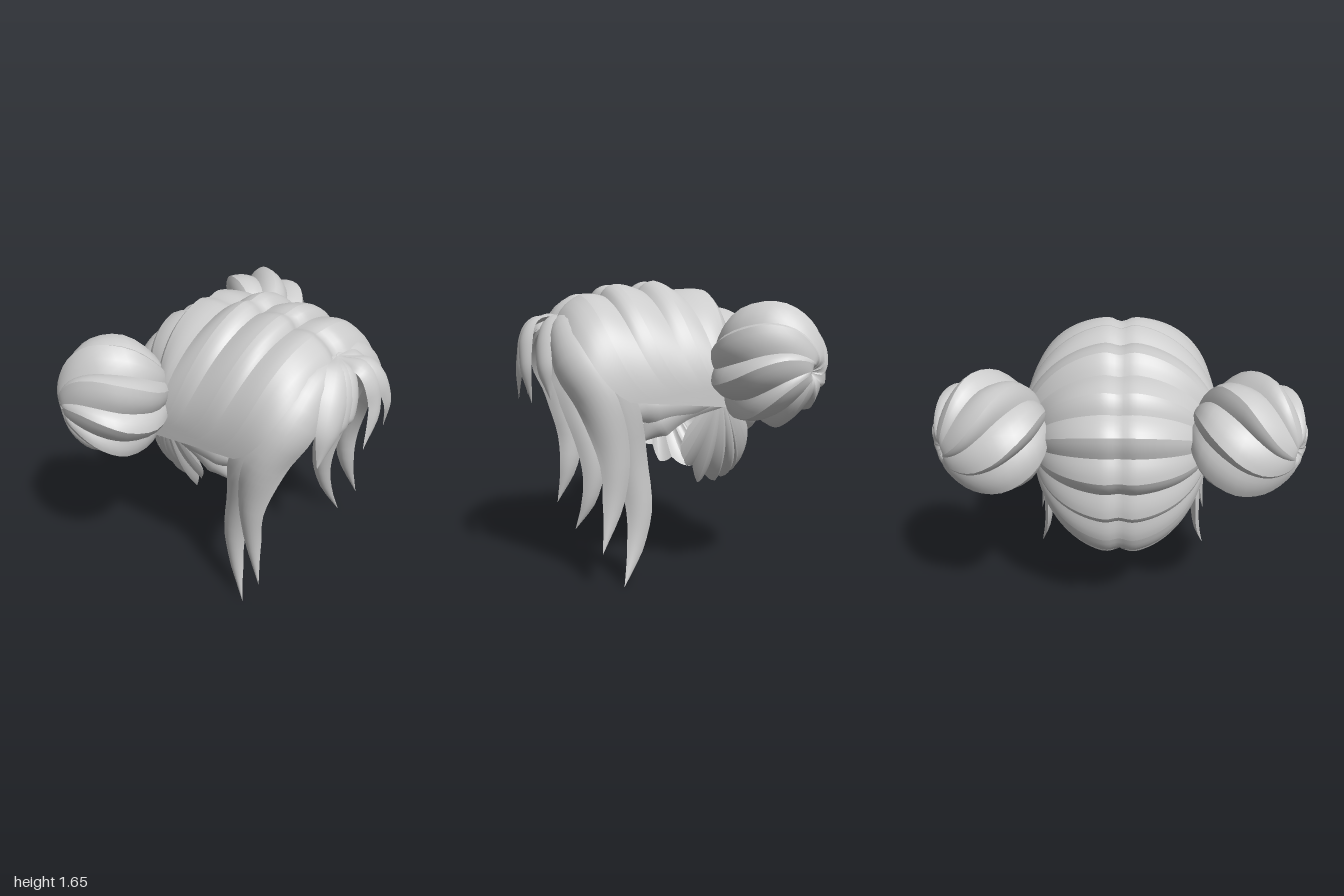
import * as THREE from 'three';

const material = new THREE.MeshStandardMaterial({ color: 0xcccccc, side: THREE.DoubleSide });
const V = (x, y, z) => new THREE.Vector3(x, y, z);
const { lerp, smoothstep } = THREE.MathUtils;

// Smooth grid surface from a rule point(u, v), u and v in 0..1
function sheet(name, point, nu, nv) {
  const pos = [], index = [];
  for (let i = 0; i <= nu; i++)
    for (let j = 0; j <= nv; j++) pos.push(...point(i / nu, j / nv).toArray());
  for (let i = 0; i < nu; i++)
    for (let j = 0; j < nv; j++) {
      const a = i * (nv + 1) + j, b = a + nv + 1;
      index.push(a, b, a + 1, b, b + 1, a + 1);
    }
  const g = new THREE.BufferGeometry();
  g.setAttribute('position', new THREE.Float32BufferAttribute(pos, 3));
  g.setIndex(index);
  g.computeVertexNormals();
  const mesh = new THREE.Mesh(g, material);
  mesh.name = name;
  return mesh;
}

// Piecewise linear lookup in a list
function sample(list, t) {
  const f = t * (list.length - 1), i = Math.min(Math.floor(f), list.length - 2);
  return lerp(list[i], list[i + 1], f - i);
}

// Tapered, lens-shaped lock of hair along a path; hanging parts face sideways
function lock(name, points, widths, inner = -0.12) {
  const curve = new THREE.CatmullRomCurve3(points.map(p => V(...p)));
  const group = new THREE.Group();
  group.name = name;
  for (const depth of [0.4, inner]) {
    group.add(sheet(name + (depth > 0 ? 'Outer' : 'Inner'), (u, v) => {
      const c = curve.getPoint(u), tangent = curve.getTangent(u);
      const out = V(c.x, Math.max(0, c.y - 1), c.z * smoothstep(c.y, 0.6, 1.15));
      const side = V().crossVectors(tangent, out).normalize();
      const normal = V().crossVectors(side, tangent).normalize();
      const w = sample(widths, u), t = 2 * v - 1;
      return c.addScaledVector(side, w * t).addScaledVector(normal, w * depth * (1 - t * t));
    }, 22, 8));
  }
  return group;
}

// Adds a part and its mirror image
function addPair(parent, part) {
  const other = part.clone();
  other.scale.x = -1;
  part.name = 'left' + part.name;
  other.name = 'right' + other.name;
  parent.add(part, other);
}

// Ridged outline of the hair in the middle plane, [z, y], from hairline to nape
const outline = [
  [0.56, 1.44], [0.43, 1.57], [0.3, 1.57], [0.22, 1.635], [0.07, 1.605], [-0.02, 1.66],
  [-0.14, 1.6], [-0.33, 1.61], [-0.4, 1.51], [-0.55, 1.47], [-0.6, 1.37], [-0.71, 1.29],
  [-0.69, 1.16], [-0.73, 1.03], [-0.66, 0.93], [-0.68, 0.79], [-0.61, 0.73], [-0.6, 0.6],
  [-0.53, 0.49],
];
// Strand ends along one half of the open lower edge, [x, y, z]
const napeEdge = [
  [0, 0.49, -0.53], [0.06, 0.49, -0.5], [0.13, 0.465, -0.46], [0.17, 0.5, -0.4],
  [0.22, 0.465, -0.37], [0.27, 0.52, -0.28], [0.32, 0.49, -0.21], [0.34, 0.6, -0.17],
  [0.41, 0.65, -0.09], [0.43, 0.73, -0.06], [0.45, 0.85, -0.1],
];
const POLE_Y = 1.05, POLE_Z = -0.27, NAPE_WIDTH = 0.49;

// Every band arches over the head from one bun to the other
function scalpPoint(z, y, s) {
  const upper = y > 1.1;
  const front = upper ? smoothstep(z, -0.05, 0.55) : 0;
  const low = upper ? smoothstep(-z, 0.15, 0.6) : 1;
  const n = 2 + 0.5 * front;
  const f = Math.pow(Math.max(0, 1 - Math.pow(Math.abs(s), n)), 1 / n);
  const poleY = POLE_Y - 0.09 * front;
  const x = s * lerp(0.575, NAPE_WIDTH, low);
  const parting = 1 - 0.04 * Math.exp(-((x / 0.05) ** 2));
  const power = upper ? 1 - 0.62 * smoothstep(z, POLE_Z, 0.05) - 0.2 * front : 1;
  const sweep = Math.pow(f, power);
  return V(x, poleY + (y - poleY) * f * parting, POLE_Z + (z - POLE_Z) * sweep * parting);
}

// Strip between two outline points; from holds the start on each of them
function band(name, a, b, from, to, nv) {
  return sheet(name, (u, v) => {
    const s = Math.sin(lerp(lerp(from[0], from[1], u), to, v) * Math.PI / 2);
    const swell = 1 + 0.02 * Math.sin(u * Math.PI);
    const z = POLE_Z + (lerp(a[0], b[0], u) - POLE_Z) * swell;
    const y = POLE_Y + (lerp(a[1], b[1], u) - POLE_Y) * swell;
    return scalpPoint(z, y, s);
  }, 4, nv);
}

// Nape strands fanning from the bun to the lower edge
function makeNape() {
  const nape = new THREE.Group();
  nape.name = 'NapeHair';
  const ends = napeEdge.map(([x, y, z]) => {
    const s = x / NAPE_WIDTH, f = Math.sqrt(1 - s * s);
    return { at: [POLE_Z + (z - POLE_Z) / f, POLE_Y + (y - POLE_Y) / f], from: Math.asin(s) * 2 / Math.PI };
  });
  for (let i = 0; i < ends.length - 1; i++)
    nape.add(band('napeStrand', ends[i].at, ends[i + 1].at, [ends[i].from, ends[i + 1].from], 1, 20));
  return nape;
}

// Twisted bun built from sharply ridged lobes around its own y axis
function makeBun() {
  const bun = new THREE.Group();
  bun.name = 'bunCoil';
  const profile = new THREE.CatmullRomCurve3([
    V(0, 0.24, 0), V(0.06, 0.285, 0), V(0.14, 0.265, 0), V(0.25, 0.18, 0),
    V(0.315, 0.04, 0), V(0.28, -0.15, 0), V(0.12, -0.29, 0), V(0, -0.31, 0)]);
  const lobes = 8, step = Math.PI * 2 / lobes;
  const facets = [[0, 0.35, 0.87, 1.08], [0.35, 1, 1.08, 0.87]];
  for (let k = 0; k < lobes; k++)
    for (const [a0, a1, r0, r1] of facets)
      bun.add(sheet('bunStrand', (u, v) => {
        const p = profile.getPoint(u);
        const a = (k + lerp(a0, a1, v)) * step + 2 * u;
        const r = p.x * (lerp(r0, r1, v) + 0.015 * Math.sin(v * Math.PI));
        return V(r * Math.cos(a), p.y, -r * Math.sin(a));
      }, 24, 4));
  bun.quaternion.setFromUnitVectors(V(0, 1, 0), V(0.86, -0.1, -0.5).normalize());
  bun.position.set(0.685, 1.195, -0.465);
  const holder = new THREE.Group();
  holder.name = 'Bun';
  holder.add(bun);
  return holder;
}

export function createModel() {
  const model = new THREE.Group();
  model.name = 'hair';

  // Swept bands over the crown and back
  const scalp = new THREE.Group();
  scalp.name = 'scalpHair';
  for (let i = 0; i < outline.length - 1; i++)
    scalp.add(band('sweptBand', outline[i], outline[i + 1], [-1, -1], 1, 64));
  model.add(scalp);

  addPair(model, makeNape());
  addPair(model, makeBun());

  // Long side locks framing the face
  addPair(model, lock('FrontSideLock',
    [[0, 1.45, 0.53], [0.22, 1.39, 0.56], [0.42, 1.21, 0.54], [0.51, 0.98, 0.43],
      [0.52, 0.7, 0.35], [0.52, 0.45, 0.36], [0.56, 0.2, 0.43]],
    [0.01, 0.1, 0.13, 0.115, 0.085, 0.06, 0], -0.4));
  addPair(model, lock('RearSideLock',
    [[0, 1.46, 0.5], [0.25, 1.41, 0.49], [0.45, 1.2, 0.43], [0.5, 0.95, 0.33],
      [0.48, 0.65, 0.24], [0.48, 0.4, 0.2], [0.5, 0.2, 0.23], [0.555, 0, 0.31]],
    [0.01, 0.1, 0.13, 0.125, 0.09, 0.075, 0.05, 0], -0.4));

  // Short locks between the buns and the face
  addPair(model, lock('TempleLock',
    [[0.5, 1.03, -0.3], [0.53, 0.99, -0.08], [0.52, 0.97, 0.13], [0.47, 0.91, 0.32]],
    [0.05, 0.07, 0.1, 0]));
  addPair(model, lock('LowerTempleLock',
    [[0.5, 0.99, -0.28], [0.52, 0.95, -0.05], [0.51, 0.88, 0.1], [0.47, 0.77, 0.21]],
    [0.04, 0.06, 0.085, 0]));

  // Fringe fanning from the parting: tip x, y, z and half width
  const tips = [
    [-0.35, 0.97, 0.65, 0.095], [-0.25, 1.07, 0.66, 0.085], [-0.17, 1.14, 0.67, 0.07],
    [0.3, 1.0, 0.64, 0.085], [0.23, 0.98, 0.73, 0.08],
  ];
  for (const [x, y, z, w] of tips)
    model.add(lock('fringeLock',
      [[0, 1.45, 0.54], [x * 0.35, 1.39, z - 0.03], [x * 0.8, 1.2, z + 0.02], [x, y, z]],
      [0.01, w * 0.9, w, w * 0.75, 0]));
  model.add(lock('middleFringeLock',
    [[0, 1.45, 0.54], [0.03, 1.4, 0.69], [0.05, 1.2, 0.75], [-0.05, 0.97, 0.755]],
    [0.01, 0.07, 0.085, 0.065, 0]));
  return model;
}
